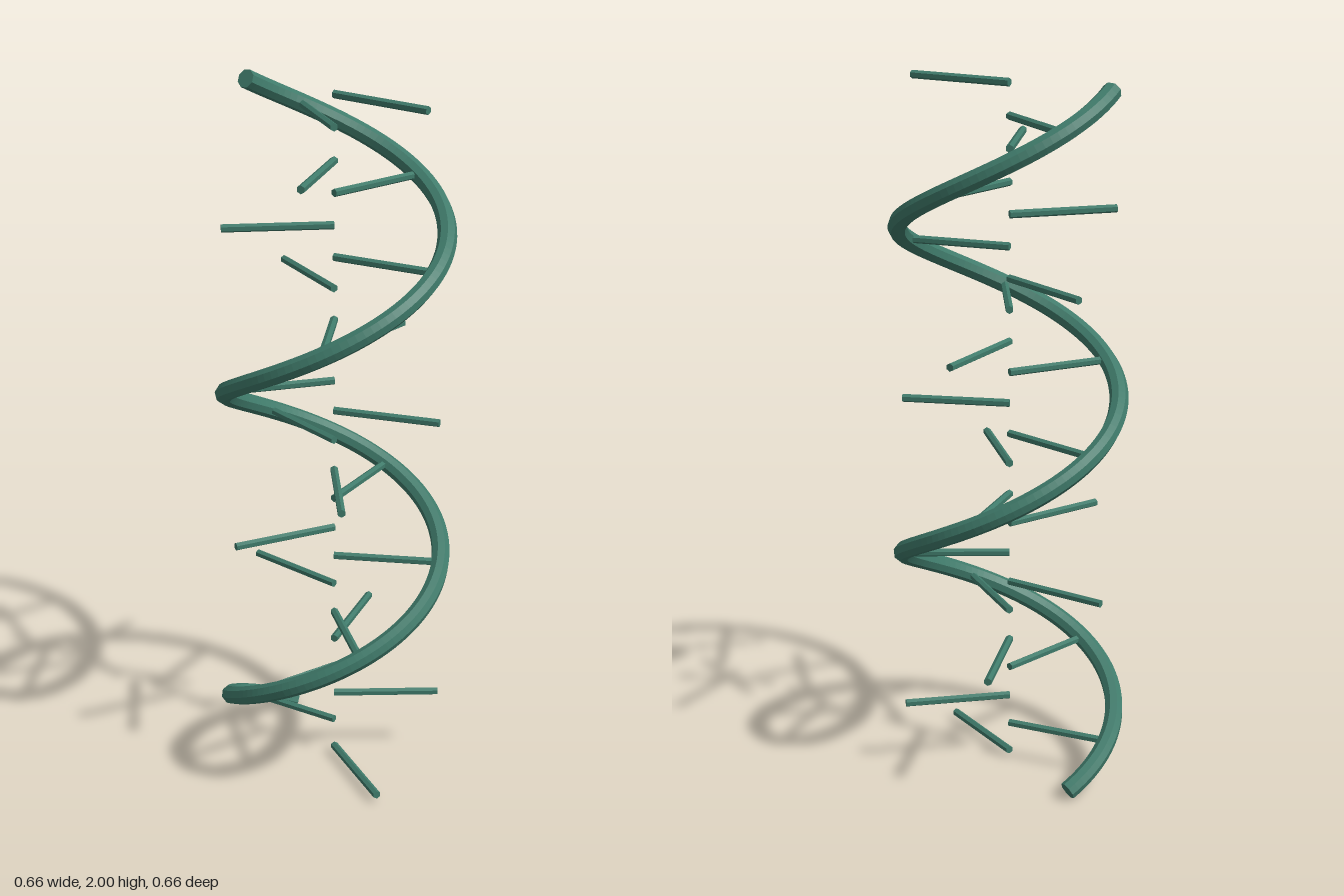
import * as THREE from 'three';

const RADIUS = 0.303;                              // helix radius
const TUBE = 0.0265;                               // strand thickness
const Y0 = 0.024, Y1 = 1.976;                      // ends of the strand
const TURN = THREE.MathUtils.degToRad(748.3);      // total sweep
const RUNGS = 23;

// Point on the helix, u from 0 (bottom) to 1 (top)
function helixPoint(u, target = new THREE.Vector3()) {
  const a = u * TURN;
  return target.set(-RADIUS * Math.sin(a), Y0 + (Y1 - Y0) * u, -RADIUS * Math.cos(a));
}

class Helix extends THREE.Curve {
  getPoint(u, target) {
    return helixPoint(u, target);
  }
}

export function createModel() {
  const group = new THREE.Group();
  group.name = 'helix';
  const green = new THREE.MeshStandardMaterial({ color: 0x3f7a6a, flatShading: true });
  green.name = 'mutedGreen';

  const add = (geometry, name) => {
    const mesh = new THREE.Mesh(geometry, green);
    mesh.name = name;
    group.add(mesh);
    return mesh;
  };

  // Spiral strand
  const tube = new THREE.TubeGeometry(new Helix(), 200, TUBE, 8, false);
  add(tube, 'strand');

  // Flat caps closing both ends of the strand
  for (const [i, u, name] of [[0, 0, 'bottomCap'], [200, 1, 'topCap']]) {
    const cap = new THREE.CircleGeometry(TUBE, 8);
    if (i === 0) cap.rotateX(Math.PI);
    cap.applyMatrix4(new THREE.Matrix4()
      .makeBasis(tube.normals[i], tube.binormals[i], tube.tangents[i])
      .setPosition(helixPoint(u)));
    add(cap, name);
  }

  // Rungs from the axis, alternately away from and towards the strand
  const rung = new THREE.CylinderGeometry(0.0115, 0.0115, RADIUS, 6);
  rung.translate(0, RADIUS / 2, 0).rotateX(Math.PI / 2);
  for (let i = 0; i < RUNGS; i++) {
    const p = helixPoint(i / (RUNGS - 1));
    const side = i % 2 === 0 ? -1 : 1;
    const mesh = add(rung, `rung${i + 1}`);
    mesh.position.y = p.y;
    mesh.rotation.y = Math.atan2(side * p.x, side * p.z);
  }
  return group;
}
